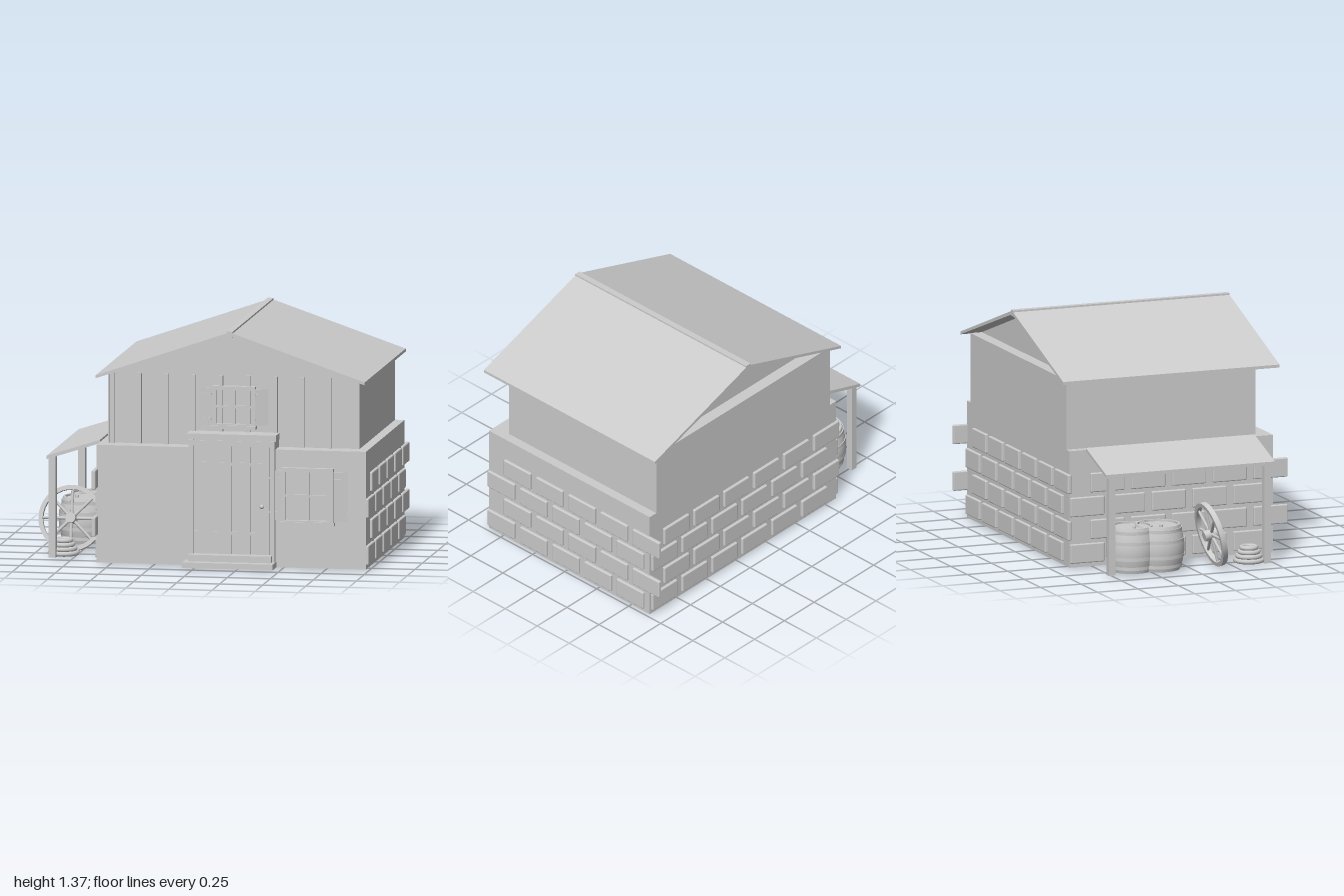
import * as THREE from 'three';
import { RoundedBoxGeometry } from 'three/addons/geometries/RoundedBoxGeometry.js';
import { toCreasedNormals } from 'three/addons/utils/BufferGeometryUtils.js';

const grey = new THREE.MeshStandardMaterial({ color: 0xcccccc });
grey.name = 'plain grey';

export function createModel() {
  const model = new THREE.Group();
  model.name = 'cottage';

  const add = (name, geometry, parent = model) => {
    const mesh = new THREE.Mesh(geometry, grey);
    mesh.name = name;
    parent.add(mesh);
    return mesh;
  };
  // Box given by its limits on each axis
  const box = (name, x0, x1, y0, y1, z0, z1, parent = model) => {
    const mesh = add(name, new THREE.BoxGeometry(x1 - x0, y1 - y0, z1 - z0), parent);
    mesh.position.set((x0 + x1) / 2, (y0 + y1) / 2, (z0 + z1) / 2);
    return mesh;
  };
  // Outline in x and y, pulled along z
  const prism = (name, points, z0, z1) => {
    const shape = new THREE.Shape(points.map(([x, y]) => new THREE.Vector2(x, y)));
    const mesh = add(name, new THREE.ExtrudeGeometry(shape, { depth: z1 - z0, bevelEnabled: false }));
    mesh.position.z = z0;
    return mesh;
  };
  const group = (name, x = 0, y = 0, z = 0) => {
    const g = new THREE.Group();
    g.name = name;
    g.position.set(x, y, z);
    model.add(g);
    return g;
  };

  // Walls
  box('lowerWalls', -0.58, 0.985, 0.02, 0.7, -0.65, 0.605);
  box('upperWalls', -0.53, 0.93, 0.7, 1.105, -0.65, 0.5);
  prism('gable', [[-0.53, 1.105], [0.93, 1.105], [0.2, 1.356]], -0.58, 0.505);

  // Main roof and ridge
  prism('roof', [[-0.58, 1.09], [0.2, 1.355], [0.985, 1.09], [0.985, 1.107], [0.2, 1.376], [-0.58, 1.107]], -0.69, 0.645);
  box('ridgeBeam', 0.182, 0.218, 1.345, 1.38, -0.69, 0.645);

  // Upright timbers on the upper front
  for (let i = 0; i < 9; i++) {
    const x = -0.505 + i * 0.158;
    box('timber', x - 0.011, x + 0.011, 0.7, 1.108, 0.49, 0.522);
  }
  box('cornerTimber', -0.53, -0.521, 0.7, 1.108, 0.49, 0.51);

  // Stone courses: right and left sides are half-turn copies, the back has its own
  const stone = new RoundedBoxGeometry(0.209, 0.112, 0.024, 2, 0.007);
  const rowY = [0.1, 0.236, 0.372, 0.508];
  const centre = { x: 0.2025, z: -0.0225 };
  for (const side of [1, -1]) {
    const wall = group(side > 0 ? 'rightStones' : 'leftStones', centre.x, 0, centre.z);
    if (side < 0) wall.rotation.y = Math.PI;
    rowY.forEach((y, row) => {
      for (let i = 0; i < 5; i++) {
        const mesh = add('stone', stone, wall);
        mesh.rotation.y = Math.PI / 2;
        mesh.position.set(0.786, y, (row % 2 ? 0.375 : 0.5) - i * 0.2515 - centre.z);
      }
    });
  }
  const backStones = group('backStones');
  rowY.forEach((y, row) => {
    for (let i = 0; i < 6; i++) {
      add('stone', stone, backStones).position.set((row % 2 ? 0.77 : 0.87) - i * 0.2515, y, -0.654);
    }
  });

  // Door with frame, planks, rails, handle and steps
  const door = group('door');
  box('frameCore', -0.035, 0.455, 0.05, 0.75, 0.495, 0.608, door);
  box('leftPost', -0.04, -0.015, 0.05, 0.75, 0.5, 0.635, door);
  box('rightPost', 0.43, 0.46, 0.05, 0.75, 0.5, 0.635, door);
  box('lintel', -0.055, 0.465, 0.745, 0.782, 0.5, 0.62, door);
  box('headRail', -0.015, 0.43, 0.715, 0.745, 0.5, 0.625, door);
  for (let i = 0; i < 4; i++) {
    const x = -0.012 + i * 0.11;
    box('plank', x, x + 0.106, 0.09, 0.715, 0.6, 0.614, door);
  }
  for (const y of [0.2, 0.6]) box('strap', -0.01, 0.4, y, y + 0.02, 0.61, 0.618, door);
  const knob = add('handle', new THREE.SphereGeometry(0.013, 12, 8), door);
  knob.position.set(0.385, 0.37, 0.63);
  box('handlePlate', 0.378, 0.392, 0.345, 0.385, 0.61, 0.622, door);
  box('lowerStep', -0.06, 0.465, 0.02, 0.052, 0.6, 0.73);
  box('upperStep', -0.035, 0.445, 0.052, 0.09, 0.6, 0.677);

  // Window: frame, cross bars, sill, and shutters folded back
  const windowAt = (name, cx, cy, z, w, h, shutterW, depth) => {
    const g = group(name, cx, cy, z);
    const t = 0.022;
    box('pane', -w / 2, w / 2, -h / 2, h / 2, -0.01, 0.004, g);
    for (const s of [-1, 1]) {
      const x = s * (w - t) / 2;
      const y = s * (h - t) / 2;
      box('sideFrame', x - t / 2, x + t / 2, -h / 2, h / 2, 0, depth, g);
      box('endFrame', -w / 2, w / 2, y - t / 2, y + t / 2, 0, depth, g);
      const hinge = new THREE.Group();
      hinge.name = 'shutter';
      hinge.position.set(s * w / 2, 0, depth * 0.75);
      hinge.rotation.y = s * Math.atan2(depth, shutterW);
      g.add(hinge);
      const far = s * shutterW;
      box('board', Math.min(0, far), Math.max(0, far), -h * 0.44, h * 0.44, -0.012, 0, hinge);
      for (const v of [-0.3, 0.3]) {
        box('hingeStrap', Math.min(0, far * 0.8), Math.max(0, far * 0.8), v * h - 0.006, v * h + 0.006, 0, 0.005, hinge);
      }
    }
    box('uprightBar', -0.007, 0.007, -h / 2, h / 2, 0, depth * 0.6, g);
    box('crossBar', -w / 2, w / 2, -0.007, 0.007, 0, depth * 0.6, g);
    box('sill', -w / 2 - 0.006, w / 2 + 0.006, -h / 2 - 0.006, -h / 2 + 0.014, 0, depth + 0.01, g);
  };
  windowAt('lowerWindow', 0.65, 0.437, 0.605, 0.3, 0.325, 0.105, 0.03);
  windowAt('upperWindow', 0.203, 0.927, 0.505, 0.25, 0.24, 0.08, 0.03);

  // Lean-to on the model's right
  prism('leanToRoof', [[-0.89, 0.592], [-0.58, 0.692], [-0.58, 0.712], [-0.89, 0.612]], -0.55, 0.49);
  for (const z of [-0.51, 0.45]) box('leanToPost', -0.882, -0.842, 0.02, 0.606, z - 0.02, z + 0.02);

  // Barrels
  const profile = [[0, 0], [0.128, 0], [0.142, 0.045], [0.152, 0.1], [0.154, 0.13], [0.152, 0.16], [0.142, 0.215], [0.128, 0.262], [0.116, 0.262], [0.116, 0.25], [0, 0.25]];
  const barrelGeometry = toCreasedNormals(
    new THREE.LatheGeometry(profile.map(([r, y]) => new THREE.Vector2(r, y)), 28), 0.6);
  const barrel = (x, z, size) => {
    const g = group('barrel', x, 0.022, z);
    g.scale.set(size, 1, size);
    add('staves', barrelGeometry, g);
    for (const [y, r] of [[0.03, 0.14], [0.085, 0.152], [0.175, 0.152], [0.235, 0.139]]) {
      add('hoop', new THREE.CylinderGeometry(r, r, 0.02, 28), g).position.y = y;
    }
    const bung = add('bung', new THREE.CylinderGeometry(0.012, 0.012, 0.016, 10), g);
    bung.position.set(-0.05, 0.256, 0);
  };
  barrel(-0.785, -0.19, 1);
  barrel(-0.775, -0.35, 0.94);

  // Leaning cart wheel
  const wheel = group('wheel', -0.81, 0.2, 0.13);
  wheel.rotation.x = -0.24;
  const rim = [[0.165, -0.015], [0.19, -0.015], [0.19, 0.015], [0.165, 0.015], [0.165, -0.015]];
  const rimGeometry = toCreasedNormals(
    new THREE.LatheGeometry(rim.map(([r, y]) => new THREE.Vector2(r, y)), 36), 0.6);
  add('rim', rimGeometry, wheel).rotation.x = Math.PI / 2;
  add('hub', new THREE.CylinderGeometry(0.03, 0.03, 0.09, 16), wheel).rotation.x = Math.PI / 2;
  for (let i = 0; i < 8; i++) {
    const spoke = add('spoke', new THREE.CylinderGeometry(0.008, 0.01, 0.15, 8), wheel);
    const a = i * Math.PI / 4;
    spoke.position.set(-Math.sin(a) * 0.095, Math.cos(a) * 0.095, 0);
    spoke.rotation.z = a;
  }

  // Coil of rope on the ground
  const coil = group('ropeCoil', -0.815, 0.036, 0.36);
  for (let i = 0; i < 4; i++) {
    const loop = add('ropeLoop', new THREE.TorusGeometry(0.078 - i * 0.012, 0.014, 8, 24), coil);
    loop.rotation.x = Math.PI / 2;
    loop.position.y = i * 0.024;
  }
  return model;
}
